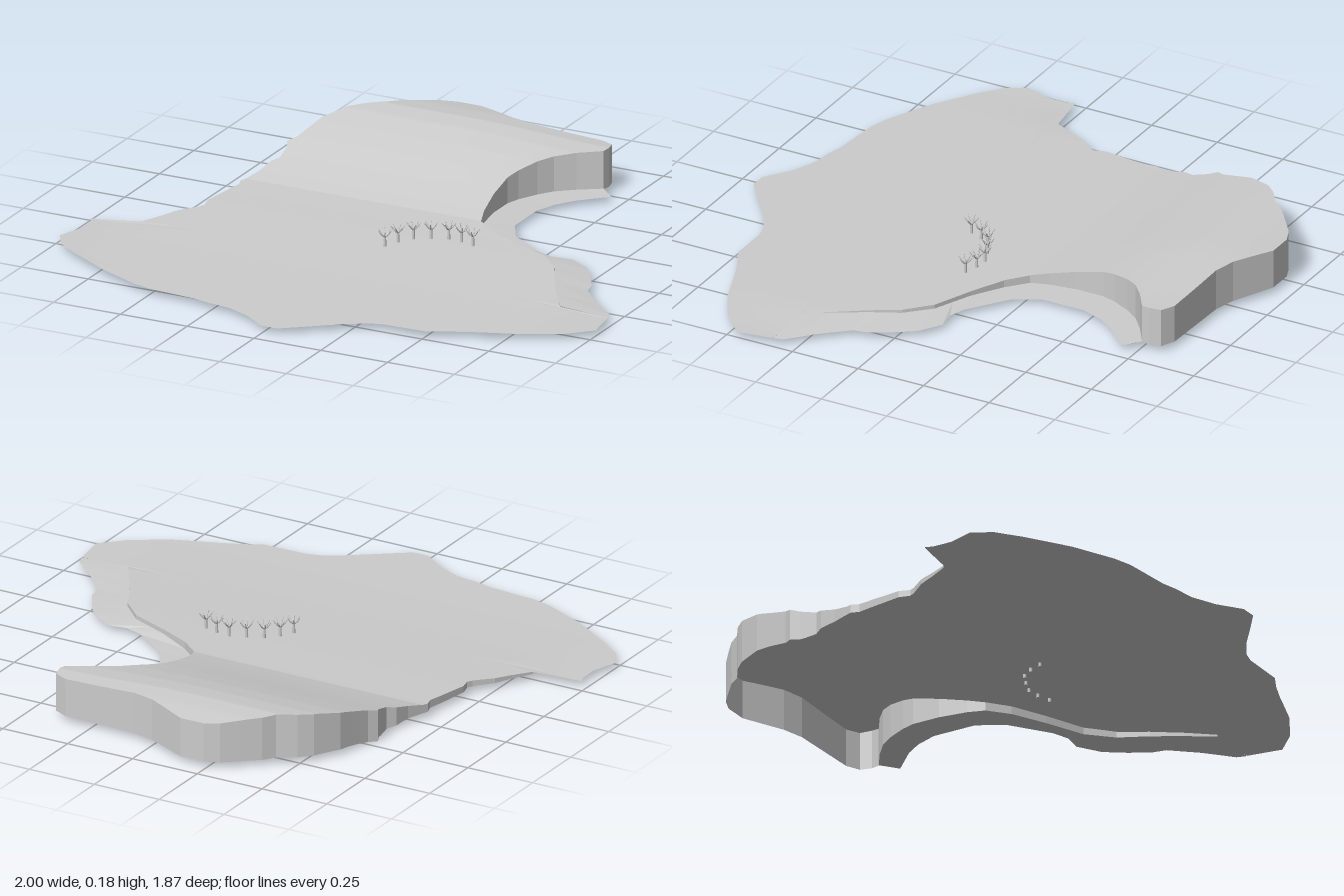
import * as THREE from 'three';

const smooth = new THREE.MeshStandardMaterial({ color: 0xcccccc, side: THREE.DoubleSide });
const faceted = new THREE.MeshStandardMaterial({ color: 0xcccccc, side: THREE.DoubleSide, flatShading: true });

// Outline of the land as [z, x] from back to front
const leftEdge = [
  [-0.94, -0.24], [-0.92, -0.29], [-0.88, -0.34], [-0.83, -0.4], [-0.79, -0.43], [-0.75, -0.49], [-0.71, -0.53],
  [-0.62, -0.58], [-0.53, -0.6], [-0.49, -0.61], [-0.46, -0.63], [-0.43, -0.615], [-0.37, -0.61], [-0.34, -0.63],
  [-0.28, -0.64], [-0.2, -0.67], [-0.17, -0.66], [-0.12, -0.67], [0, -0.69], [0.04, -0.68], [0.06, -0.69],
  [0.12, -0.74], [0.18, -0.77], [0.25, -0.81], [0.28, -0.98], [0.31, -0.97], [0.38, -0.97], [0.47, -1],
  [0.54, -0.96], [0.6, -0.88], [0.7, -0.72], [0.77, -0.57], [0.79, -0.5], [0.805, -0.32], [0.82, -0.26],
  [0.83, -0.18], [0.87, -0.09], [0.93, -0.01]];
const rightEdge = [
  [-0.94, -0.15], [-0.87, 0], [-0.85, 0.08], [-0.843, 0.35], [-0.82, 0.4], [-0.78, 0.41], [-0.75, 0.405],
  [-0.7, 0.33], [-0.65, 0.27], [-0.6, 0.235], [-0.53, 0.2], [-0.48, 0.185], [-0.38, 0.185], [-0.28, 0.2],
  [-0.22, 0.22], [-0.16, 0.29], [-0.1, 0.41], [-0.04, 0.55], [0.04, 0.63], [0.14, 0.68], [0.24, 0.74],
  [0.33, 0.8], [0.335, 0.98], [0.46, 1], [0.54, 0.92], [0.61, 0.8], [0.67, 0.64], [0.7, 0.57],
  [0.732, 0.51], [0.736, 0.35], [0.75, 0.3], [0.8, 0.22], [0.87, 0.13], [0.93, 0.05]];
// Ground level as [z, y]
const profile = [
  [-0.94, 0.158], [-0.86, 0.17], [-0.78, 0.176], [-0.7, 0.168], [-0.6, 0.148], [-0.5, 0.122], [-0.4, 0.094],
  [-0.3, 0.068], [-0.22, 0.05], [-0.1, 0.046], [0, 0.043], [0.2, 0.034], [0.4, 0.027], [0.6, 0.023], [0.93, 0.02]];

function lookUp(table, t) {
  let i = 1;
  while (i < table.length - 1 && table[i][0] < t) i++;
  const [a, b] = [table[i - 1], table[i]];
  return THREE.MathUtils.lerp(a[1], b[1], THREE.MathUtils.clamp((t - a[0]) / (b[0] - a[0]), 0, 1));
}

function ground(x, z) {
  // the hill falls slightly to its left, and the front corners flatten out
  const hill = 0.018 * THREE.MathUtils.smoothstep(x, -0.1, 0.4) * THREE.MathUtils.smoothstep(-z, 0.3, 0.8);
  const flat = THREE.MathUtils.smoothstep(Math.abs(x), 0.72, 0.95);
  return THREE.MathUtils.lerp(lookUp(profile, z) - hill, 0.02, flat);
}

// Surface through rows of [x, y, z] points
function loft(rows, material, name) {
  const n = rows[0].length, index = [];
  for (let r = 0; r < rows.length - 1; r++) {
    for (let c = 0; c < n - 1; c++) {
      const a = r * n + c, b = a + n;
      index.push(a, b, a + 1, a + 1, b, b + 1);
    }
  }
  const geometry = new THREE.BufferGeometry();
  geometry.setAttribute('position', new THREE.Float32BufferAttribute(rows.flat(2), 3));
  geometry.setIndex(index);
  geometry.computeVertexNormals();
  const mesh = new THREE.Mesh(geometry, material);
  mesh.name = name;
  return mesh;
}

function rod(from, to, r0, r1, sides, name) {
  const a = new THREE.Vector3(...from), d = new THREE.Vector3(...to).sub(a);
  const mesh = new THREE.Mesh(new THREE.CylinderGeometry(r1, r0, d.length(), sides), smooth);
  mesh.position.copy(a).addScaledVector(d, 0.5);
  mesh.quaternion.setFromUnitVectors(new THREE.Vector3(0, 1, 0), d.normalize());
  mesh.name = name;
  return mesh;
}

// Bare tree: trunk with a ring of upturned branches
function makeTree(turn) {
  const tree = new THREE.Group();
  tree.name = 'tree';
  tree.add(rod([0, -0.014, 0], [0, 0.038, 0], 0.006, 0.0045, 8, 'trunk'));
  for (let i = 0; i < 6; i++) {
    const a = turn + (i * Math.PI) / 3, c = Math.cos(a), s = Math.sin(a);
    const elbow = [c * 0.014, 0.044, s * 0.014];
    tree.add(rod([0, 0.032, 0], elbow, 0.003, 0.0025, 5, 'branch'));
    tree.add(rod(elbow, [c * 0.024, 0.058, s * 0.024], 0.0025, 0.0012, 5, 'branchTip'));
  }
  return tree;
}

export function createModel() {
  const model = new THREE.Group();
  model.name = 'coastalTerrain';

  // Land: rows across the outline, from back to front
  const zs = [...leftEdge, ...rightEdge].map((p) => p[0]);
  for (let i = 1; i < 60; i++) zs.push(-0.94 + (1.87 * i) / 60);
  const levels = [...new Set(zs)].sort((a, b) => a - b);
  const columns = 48;
  const rows = levels.map((z) => {
    const x0 = lookUp(leftEdge, z), x1 = lookUp(rightEdge, z);
    return Array.from({ length: columns + 1 }, (_, i) => {
      const x = THREE.MathUtils.lerp(x0, x1, i / columns);
      return [x, ground(x, z), z];
    });
  });
  model.add(loft(rows, smooth, 'land'));

  // Cliff: a wall under the land's edge, round the cove, the back and the right side
  const rim = [
    ...rows.filter((r) => r[0][2] <= 0.33).map((r) => r[columns]).reverse(),
    ...rows.filter((r) => r[0][2] <= 0.25).map((r) => r[0])];
  const foot = rim.map(([x, y, z]) => {
    const dip = x < -0.5 ? 0.02 * Math.exp(-(((z + 0.44) / 0.1) ** 2)) : 0;
    return [x, Math.min(y, 0.02 - dip), z];
  });
  model.add(loft([rim, foot], faceted, 'cliff'));

  // Shore: the low strip between the cove cliff and the water line, as [inner x, z, outer x, z]
  const shorePairs = [
    [0.8, 0.33, 0.98, 0.335], [0.78, 0.3, 0.97, 0.3], [0.74, 0.24, 0.88, 0.22], [0.68, 0.14, 0.8, 0.13],
    [0.655, 0.09, 0.79, 0.08], [0.63, 0.04, 0.75, 0.01], [0.6, 0.01, 0.7, -0.06], [0.55, -0.04, 0.62, -0.11],
    [0.48, -0.07, 0.55, -0.1], [0.41, -0.1, 0.49, -0.12], [0.29, -0.16, 0.42, -0.17], [0.22, -0.22, 0.35, -0.22],
    [0.2, -0.28, 0.3, -0.31], [0.185, -0.38, 0.3, -0.38], [0.185, -0.48, 0.3, -0.47], [0.2, -0.53, 0.33, -0.55],
    [0.235, -0.6, 0.37, -0.61], [0.27, -0.65, 0.4, -0.64], [0.33, -0.7, 0.46, -0.7], [0.405, -0.75, 0.41, -0.74]];
  const inner = shorePairs.map(([x, z]) => [x, x > 0.4 && z > -0.2 ? 0.03 : 0.022, z]);
  const outer = shorePairs.map(([, , x, z]) => [x, 0.019, z]);
  model.add(loft([inner, outer], faceted, 'shore'));

  // Curved row of trees
  const spots = [[0.03, 0.11], [0.053, 0.06], [0.088, 0.015], [0.14, -0.012], [0.195, -0.034], [0.245, -0.03], [0.295, -0.015]];
  spots.forEach(([x, z], i) => {
    const tree = makeTree(i * 0.4);
    tree.position.set(x, ground(x, z), z);
    model.add(tree);
  });
  return model;
}
